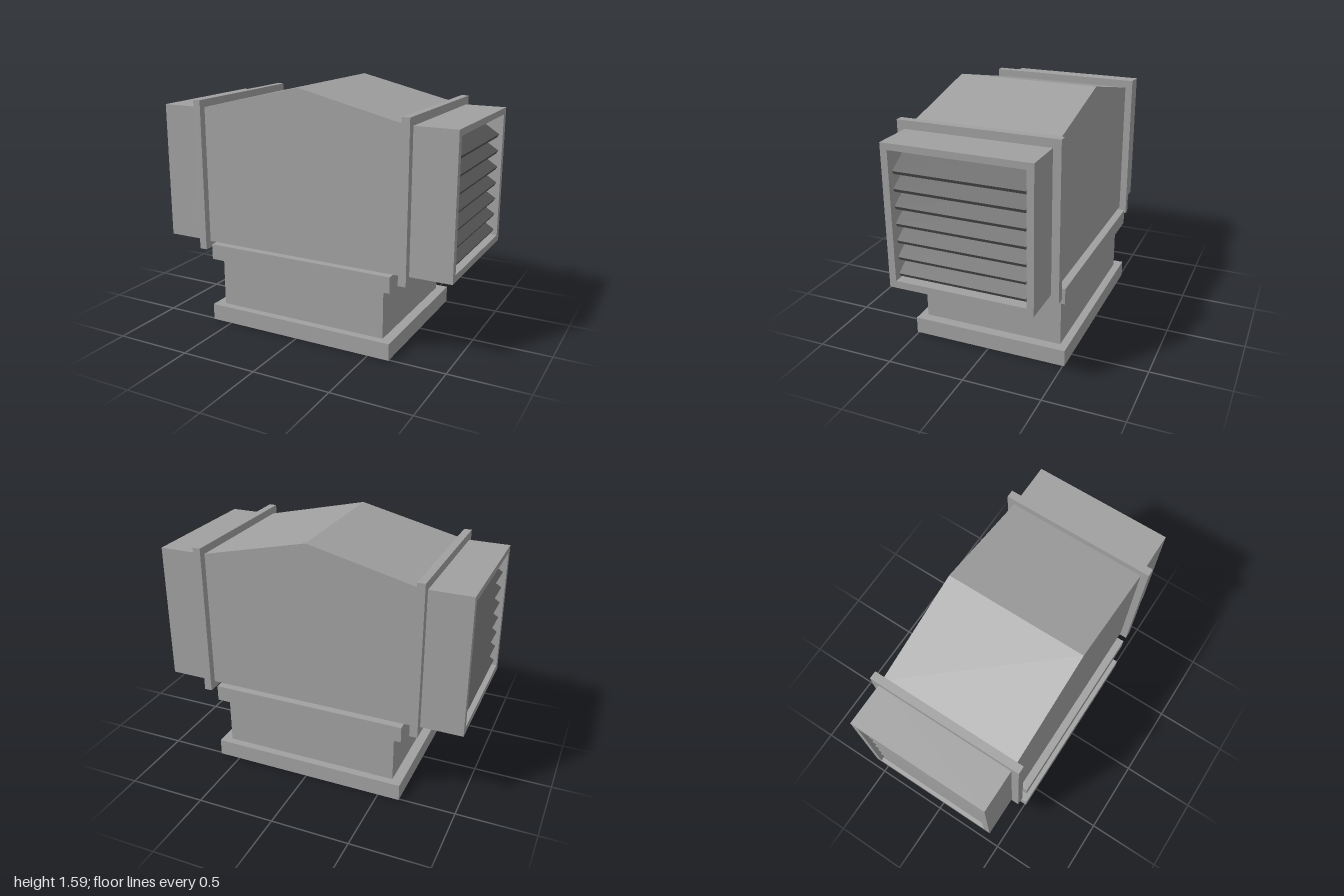
import * as THREE from 'three';

const grey = new THREE.MeshStandardMaterial({ color: 0xa0a0a0, flatShading: true });
const darkGrey = new THREE.MeshStandardMaterial({ color: 0x585858, flatShading: true });

function part(name, geometry, parent, material = grey) {
  const mesh = new THREE.Mesh(geometry, material);
  mesh.name = name;
  parent.add(mesh);
  return mesh;
}

// Box given by its lower and upper corners
function block(name, parent, [x0, y0, z0], [x1, y1, z1]) {
  const mesh = part(name, new THREE.BoxGeometry(x1 - x0, y1 - y0, z1 - z0), parent);
  mesh.position.set((x0 + x1) / 2, (y0 + y1) / 2, (z0 + z1) / 2);
}

function polygon(points, Type = THREE.Shape) {
  return new Type(points.map(([x, y]) => new THREE.Vector2(x, y)));
}

const rect = (w, y0, y1) => [[-w, y0], [w, y0], [w, y1], [-w, y1]];

// Side duct pointing along +x: flange, open hood, back panel and louvres
function createOutlet(name) {
  const outlet = new THREE.Group();
  outlet.name = name;
  block('flange', outlet, [0.685, 0.485, -0.502], [0.735, 1.472, 0.502]);

  const frame = polygon(rect(0.453, 0.533, 1.42));
  frame.holes.push(polygon(rect(0.41, 0.578, 1.38), THREE.Path));
  const hood = new THREE.ExtrudeGeometry(frame, { depth: 0.29, bevelEnabled: false });
  hood.rotateY(Math.PI / 2);
  part('hood', hood, outlet).position.x = 0.71;
  block('backPanel', outlet, [0.73, 0.56, -0.43], [0.78, 1.4, 0.43]);

  // Slats slope down towards the outside
  const section = polygon([[0.968, 0], [0.98, 0.021], [0.785, 0.146], [0.773, 0.125]]);
  const slat = new THREE.ExtrudeGeometry(section, { depth: 0.796, bevelEnabled: false });
  slat.translate(0, 0, -0.398);
  for (let i = 0; i < 7; i++) {
    part('louvreSlat', slat, outlet, darkGrey).position.y = 0.6 + i * 0.1055;
  }
  return outlet;
}

export function createModel() {
  const model = new THREE.Group();
  model.name = 'roofVentilator';

  // Stepped base
  block('baseFlange', model, [-0.64, 0, -0.51], [0.64, 0.108, 0.51]);
  block('neck', model, [-0.577, 0.108, -0.46], [0.577, 0.428, 0.46]);
  block('collar', model, [-0.635, 0.428, -0.505], [0.635, 0.53, 0.505]);

  // Main housing with a ridged roof
  const profile = polygon([[-0.7, 0.53], [0.7, 0.53], [0.7, 1.42], [0, 1.585], [-0.7, 1.42]]);
  const housing = new THREE.ExtrudeGeometry(profile, { depth: 0.91, bevelEnabled: false });
  housing.translate(0, 0, -0.455);
  part('housing', housing, model);

  // Outlets on both sides
  const left = createOutlet('leftOutlet');
  const right = createOutlet('rightOutlet');
  right.rotation.y = Math.PI;
  model.add(left, right);
  return model;
}
